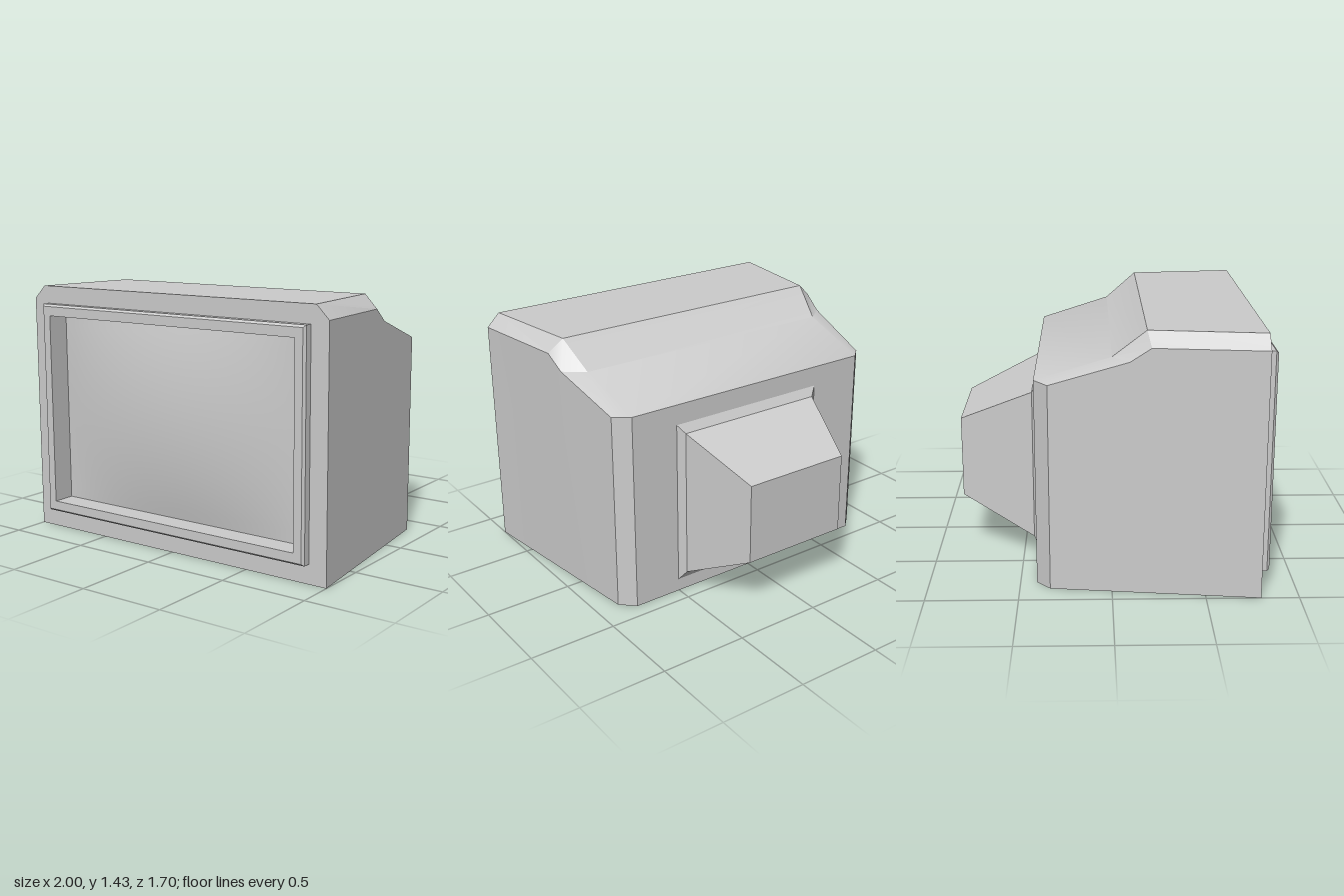
import * as THREE from 'three';
import { toCreasedNormals } from 'three/addons/utils/BufferGeometryUtils.js';

const material = new THREE.MeshStandardMaterial({ color: 0xcccccc });

// Skin a list of closed rings of [x, y, z]; optionally close the last ring.
function loft(rings, { flip = false, cap = false, crease = 0.42 } = {}) {
  const pos = [];
  const v = (p) => new THREE.Vector3(...p);
  const tri = (a, b, c) => {
    const area = v(b).sub(v(a)).cross(v(c).sub(v(a))).length();
    if (area > 1e-7) pos.push(...a, ...(flip ? c : b), ...(flip ? b : c));
  };
  for (let i = 0; i < rings.length - 1; i++) {
    const p = rings[i], n = rings[i + 1];
    for (let j = 0; j < p.length; j++) {
      const k = (j + 1) % p.length;
      tri(p[j], n[j], p[k]);
      tri(p[k], n[j], n[k]);
    }
  }
  if (cap) {
    const e = rings[rings.length - 1];
    for (let j = 1; j < e.length - 1; j++) tri(e[0], e[j + 1], e[j]);
  }
  const geo = new THREE.BufferGeometry();
  geo.setAttribute('position', new THREE.Float32BufferAttribute(pos, 3));
  geo.computeVertexNormals();
  return toCreasedNormals(geo, crease);
}

// Rectangle ring, counter-clockwise seen from the front
const rect = (cx, hw, y0, y1, z) => [
  [cx - hw, y0, z], [cx + hw, y0, z], [cx + hw, y1, z], [cx - hw, y1, z],
];

// Complete the +x half of a ring with its mirror image
const mirrored = (half) => [...half, ...half.map(([x, y, z]) => [-x, y, z]).reverse()];

export function createModel() {
  const model = new THREE.Group();
  model.name = 'television';
  const add = (name, geometry) => {
    const mesh = new THREE.Mesh(geometry, material);
    mesh.name = name;
    model.add(mesh);
    return mesh;
  };

  // Cabinet: each half ring is inner bottom, side bottom, side top, chamfer top
  const rings = [
    [[0.8, 0, 0.795], [1, 0, 0.795], [1, 1.355, 0.795], [0.925, 1.43, 0.795]],
    [[0.8, 0, 0.2], [0.929, 0, 0.2], [0.929, 1.355, 0.2], [0.845, 1.43, 0.18]],
    [[0.8, 0, 0.09], [0.916, 0, 0.09], [0.916, 1.28, 0.09], [0.802, 1.28, 0]],
    [[0.785, 0, -0.41], [0.865, 0, -0.335], [0.865, 1.145, -0.335], [0.785, 1.152, -0.41]],
    [[0.785, 0, -0.41], [0.785, 0, -0.41], [0.785, 1.152, -0.41], [0.785, 1.152, -0.41]],
  ].map(mirrored);
  add('cabinet', loft(rings, { cap: true }));

  // Front panel with the screen opening
  const toPath = (ring) => ring.map(([x, y]) => new THREE.Vector2(x, y));
  const panel = new THREE.Shape(toPath(rings[0]));
  panel.holes.push(new THREE.Path(toPath(rect(0, 0.835, 0.17, 1.265, 0)).reverse()));
  add('frontPanel', new THREE.ShapeGeometry(panel)).position.z = 0.795;

  // Raised screen frame, bevelled outside, with a deep inner reveal
  add('screenFrame', loft([
    rect(0, 0.895, 0.107, 1.33, 0.795),
    rect(0, 0.895, 0.107, 1.33, 0.836),
    rect(0, 0.883, 0.119, 1.318, 0.85),
    rect(0, 0.835, 0.17, 1.265, 0.85),
    rect(0, 0.835, 0.17, 1.265, 0.72),
  ], { flip: true }));

  // Gently bulging screen
  const screen = new THREE.PlaneGeometry(1.67, 1.095, 24, 16);
  const p = screen.attributes.position;
  for (let i = 0; i < p.count; i++) {
    const u = p.getX(i) / 0.835, w = p.getY(i) / 0.5475;
    p.setZ(i, 0.06 * (1 - u * u) * (1 - w * w));
  }
  screen.computeVertexNormals();
  add('screen', screen).position.set(0, 0.7175, 0.72);

  // Tapered tube housing with a flared lip at the back
  add('tubeHousing', loft([
    rect(0.017, 0.487, 0.075, 1.035, -0.41),
    rect(0.017, 0.447, 0.122, 0.985, -0.438),
    rect(0.017, 0.318, 0.335, 0.797, -0.85),
  ], { cap: true, crease: 0.2 }));

  return model;
}
